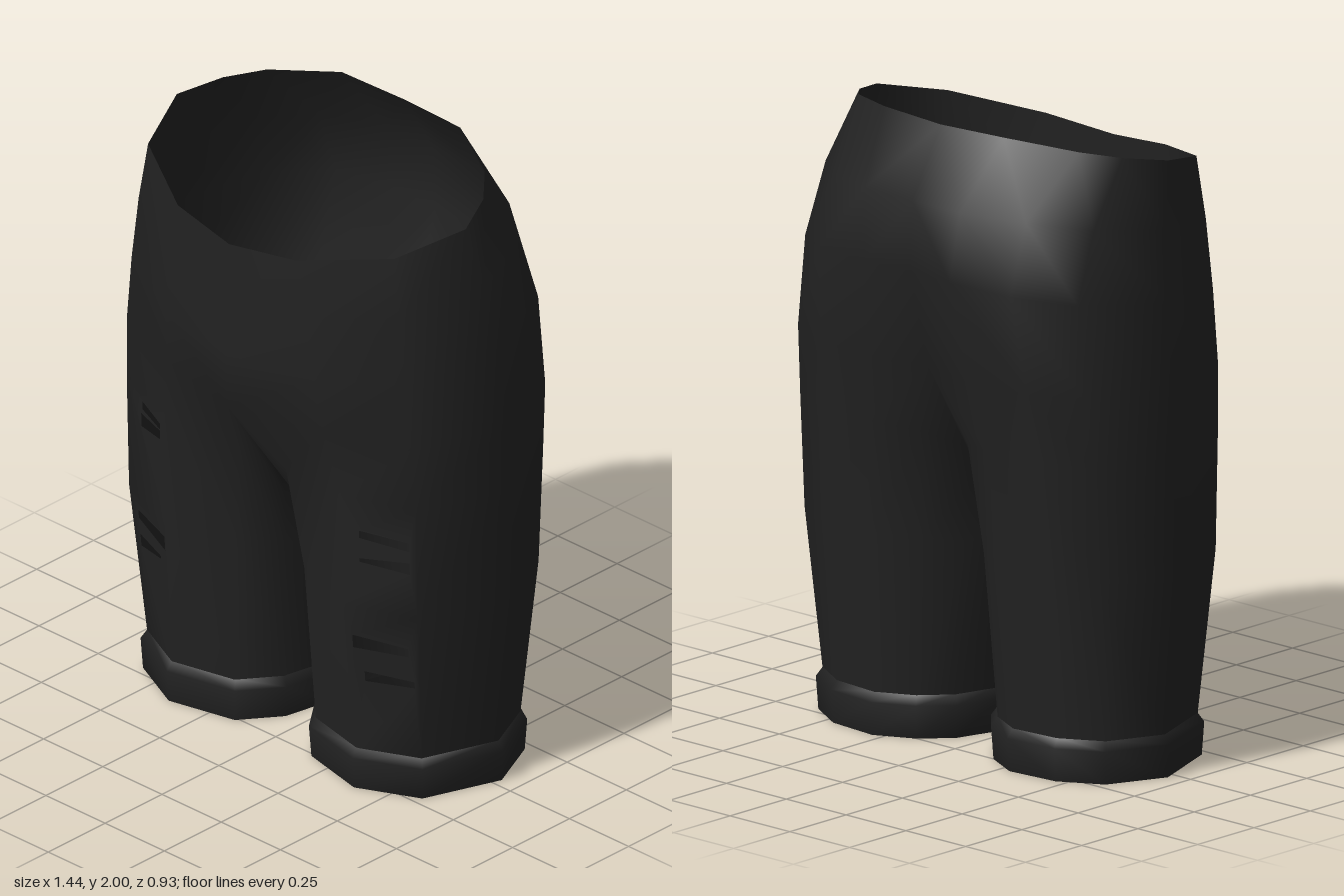
import * as THREE from 'three';
import { mergeVertices } from 'three/addons/utils/BufferGeometryUtils.js';

// Half rings (+x side), from centre front round the hip to centre back
const hipRings = [
  [[0, 1.80, 0.455], [0.25, 1.825, 0.42], [0.52, 1.875, 0.27], [0.61, 1.925, 0.05],
    [0.55, 1.95, -0.09], [0.46, 1.972, -0.19], [0.25, 2.0, -0.30], [0, 1.995, -0.315]],
  [[0, 1.62, 0.462], [0.29, 1.64, 0.42], [0.55, 1.68, 0.28], [0.645, 1.72, 0],
    [0.56, 1.75, -0.23], [0.40, 1.77, -0.36], [0.20, 1.78, -0.44], [0, 1.78, -0.44]],
  [[0, 1.42, 0.468], [0.31, 1.43, 0.41], [0.58, 1.46, 0.28], [0.675, 1.50, -0.02],
    [0.57, 1.53, -0.31], [0.40, 1.55, -0.43], [0.18, 1.56, -0.465], [0, 1.56, -0.45]],
  [[0, 1.24, 0.465], [0.33, 1.24, 0.385], [0.60, 1.24, 0.28], [0.705, 1.24, -0.04],
    [0.60, 1.24, -0.31], [0.43, 1.24, -0.39], [0.21, 1.24, -0.415], [0, 1.24, -0.37]],
];
// Crotch seam, back to front, which closes the last hip ring into a leg ring
const crotch = [[0, 0.95, -0.2], [0, 0.81, 0.04], [0, 0.93, 0.24]];
// Closed leg rings; the last three points are the inner thigh
const legRings = [
  [...hipRings[3], ...crotch],
  [[0.10, 1.0, 0.31], [0.37, 1.03, 0.355], [0.61, 1.03, 0.27], [0.718, 1.02, -0.04],
    [0.61, 1.02, -0.29], [0.45, 1.02, -0.36], [0.25, 1.02, -0.375], [0.10, 1.0, -0.30],
    [0.035, 0.8, -0.15], [0.015, 0.73, 0.02], [0.035, 0.8, 0.17]],
  [[0.14, 0.65, 0.27], [0.37, 0.65, 0.35], [0.61, 0.65, 0.26], [0.72, 0.65, -0.04],
    [0.62, 0.65, -0.26], [0.46, 0.65, -0.33], [0.27, 0.65, -0.345], [0.13, 0.65, -0.26],
    [0.045, 0.62, -0.14], [0.025, 0.58, 0], [0.05, 0.62, 0.15]],
  [[0.17, 0.12, 0.25], [0.39, 0.12, 0.30], [0.58, 0.12, 0.21], [0.67, 0.12, -0.03],
    [0.59, 0.12, -0.21], [0.46, 0.12, -0.285], [0.29, 0.12, -0.30], [0.17, 0.12, -0.24],
    [0.09, 0.12, -0.155], [0.05, 0.12, -0.02], [0.08, 0.12, 0.13]],
];
// Rips in the front of each leg: [x inner, x outer, y inner, y outer, height inner, height outer]
const rips = {
  left: [
    [[0.43, 0.588, 0.905, 0.895, 0.025, 0.03], [0.43, 0.588, 0.815, 0.82, 0.012, 0.04]],
    [[0.40, 0.57, 0.52, 0.515, 0.045, 0.03], [0.43, 0.58, 0.40, 0.40, 0.035, 0.022]],
  ],
  right: [
    [[0.40, 0.51, 0.965, 0.98, 0.02, 0.028], [0.40, 0.52, 0.935, 0.925, 0.03, 0.045]],
    [[0.385, 0.56, 0.56, 0.57, 0.05, 0.03], [0.42, 0.56, 0.49, 0.475, 0.01, 0.042]],
  ],
};

const lerp = THREE.MathUtils.lerp;
const lerpPoint = (a, b, t) => a.map((n, i) => lerp(n, b[i], t));

// Adds a triangle, reversing its corners on the mirrored side
function tri(out, side, a, b, c) {
  for (const p of side > 0 ? [a, b, c] : [a, c, b]) out.push(p[0] * side, p[1], p[2]);
}

// Skins between two rings, leaving out one column if asked
function band(out, side, upper, lower, closed, skip = -1) {
  const n = upper.length;
  for (let i = 0; i < (closed ? n : n - 1); i++) {
    if (i === skip) continue;
    const j = (i + 1) % n;
    tri(out, side, lower[i], lower[j], upper[j]);
    tri(out, side, lower[i], upper[j], upper[i]);
  }
}

// Leg panel with rips cut through it, bent onto four corners
function rippedPanel(out, side, upper, lower, cuts) {
  const [bl, br, tr, tl] = [lower[1], lower[2], upper[2], upper[1]];
  const toPanel = (x, y) => {
    const v = (y - bl[1]) / (tl[1] - bl[1]);
    const x0 = lerp(bl[0], tl[0], v), x1 = lerp(br[0], tr[0], v);
    return new THREE.Vector2((x - x0) / (x1 - x0), v);
  };
  const shape = new THREE.Shape([[0, 0], [1, 0], [1, 1], [0, 1]].map((p) => new THREE.Vector2(...p)));
  for (const [x0, x1, y0, y1, h0, h1] of cuts) {
    shape.holes.push(new THREE.Path([
      toPanel(x0, y0 - h0 / 2), toPanel(x0, y0 + h0 / 2),
      toPanel(x1, y1 + h1 / 2), toPanel(x1, y1 - h1 / 2),
    ]));
  }
  const flat = new THREE.ShapeGeometry(shape);
  const pos = flat.attributes.position, idx = flat.index;
  const at = (k) => {
    const u = pos.getX(idx.getX(k)), v = pos.getY(idx.getX(k));
    return lerpPoint(lerpPoint(bl, br, u), lerpPoint(tl, tr, u), v);
  };
  for (let k = 0; k < idx.count; k += 3) tri(out, side, at(k), at(k + 1), at(k + 2));
}

function smoothMesh(name, positions, material) {
  let geometry = new THREE.BufferGeometry();
  geometry.setAttribute('position', new THREE.Float32BufferAttribute(positions, 3));
  geometry = mergeVertices(geometry, 1e-4);
  geometry.computeVertexNormals();
  const mesh = new THREE.Mesh(geometry, material);
  mesh.name = name;
  return mesh;
}

export function createModel() {
  const group = new THREE.Group();
  group.name = 'rippedShorts';
  const cloth = new THREE.MeshStandardMaterial({ color: 0x222222, side: THREE.DoubleSide });
  cloth.name = 'black cloth';

  // Hips and both legs in one smooth skin
  const skin = [];
  for (const [name, side] of [['left', 1], ['right', -1]]) {
    for (let r = 0; r < 3; r++) band(skin, side, hipRings[r], hipRings[r + 1], false);
    band(skin, side, legRings[0], legRings[1], true);
    for (let r = 1; r < 3; r++) {
      band(skin, side, legRings[r], legRings[r + 1], true, 1);
      rippedPanel(skin, side, legRings[r], legRings[r + 1], rips[name][r - 1]);
    }
  }
  group.add(smoothMesh('shortsBody', skin, cloth));

  // Rolled cuffs: [scale about the leg centre, height]
  const profile = [[1, 0.135], [1.07, 0.105], [1.045, 0], [0.98, 0.005], [0.96, 0.1]];
  const hem = legRings[3];
  const cuffRings = profile.map(([s, y]) =>
    hem.map(([x, , z]) => [0.36 + (x - 0.36) * s, y, z * s]));
  for (const [name, side] of [['leftCuff', 1], ['rightCuff', -1]]) {
    const cuff = [];
    for (let r = 0; r < profile.length - 1; r++) band(cuff, side, cuffRings[r], cuffRings[r + 1], true);
    group.add(smoothMesh(name, cuff, cloth));
  }
  return group;
}
